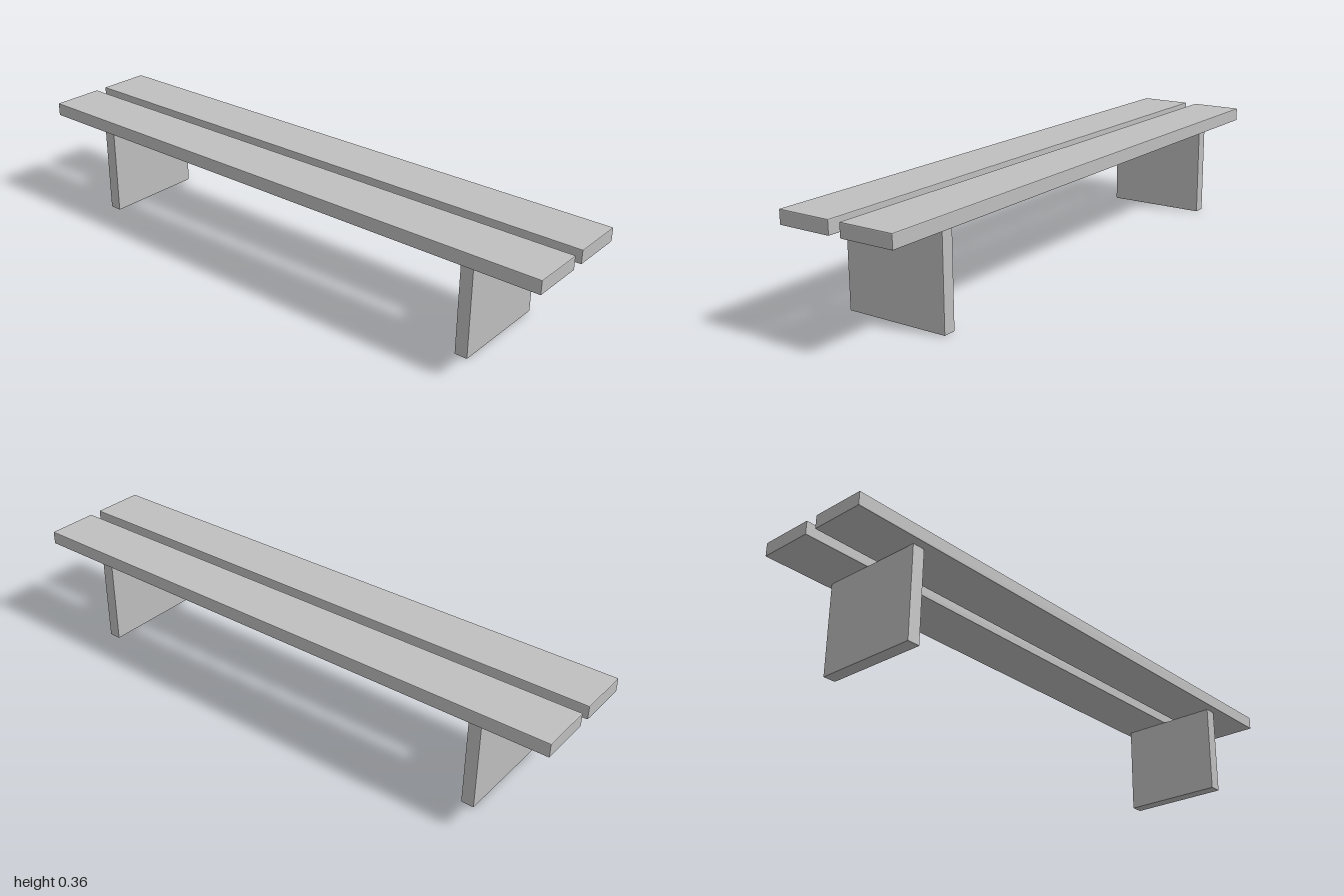
import * as THREE from 'three';
import { RoundedBoxGeometry } from 'three/addons/geometries/RoundedBoxGeometry.js';

export function createModel() {
  const bench = new THREE.Group();
  bench.name = 'bench';

  const grey = new THREE.MeshStandardMaterial({ color: 0xc0c0c0, flatShading: true });
  grey.name = 'plain grey';

  // Slab with finely eased edges
  const addSlab = (name, size, position) => {
    const mesh = new THREE.Mesh(new RoundedBoxGeometry(...size, 1, 0.003), grey);
    mesh.name = name;
    mesh.position.set(...position);
    bench.add(mesh);
  };

  // Two long seat planks with a gap between them
  for (const [side, name] of [[1, 'frontPlank'], [-1, 'backPlank']]) {
    addSlab(name, [2, 0.046, 0.182], [0, 0.334, side * 0.111]);
  }

  // Two upright leg panels under the planks
  for (const [side, name] of [[1, 'leftLeg'], [-1, 'rightLeg']]) {
    addSlab(name, [0.044, 0.31, 0.354], [side * 0.753, 0.155, 0]);
  }

  return bench;
}
